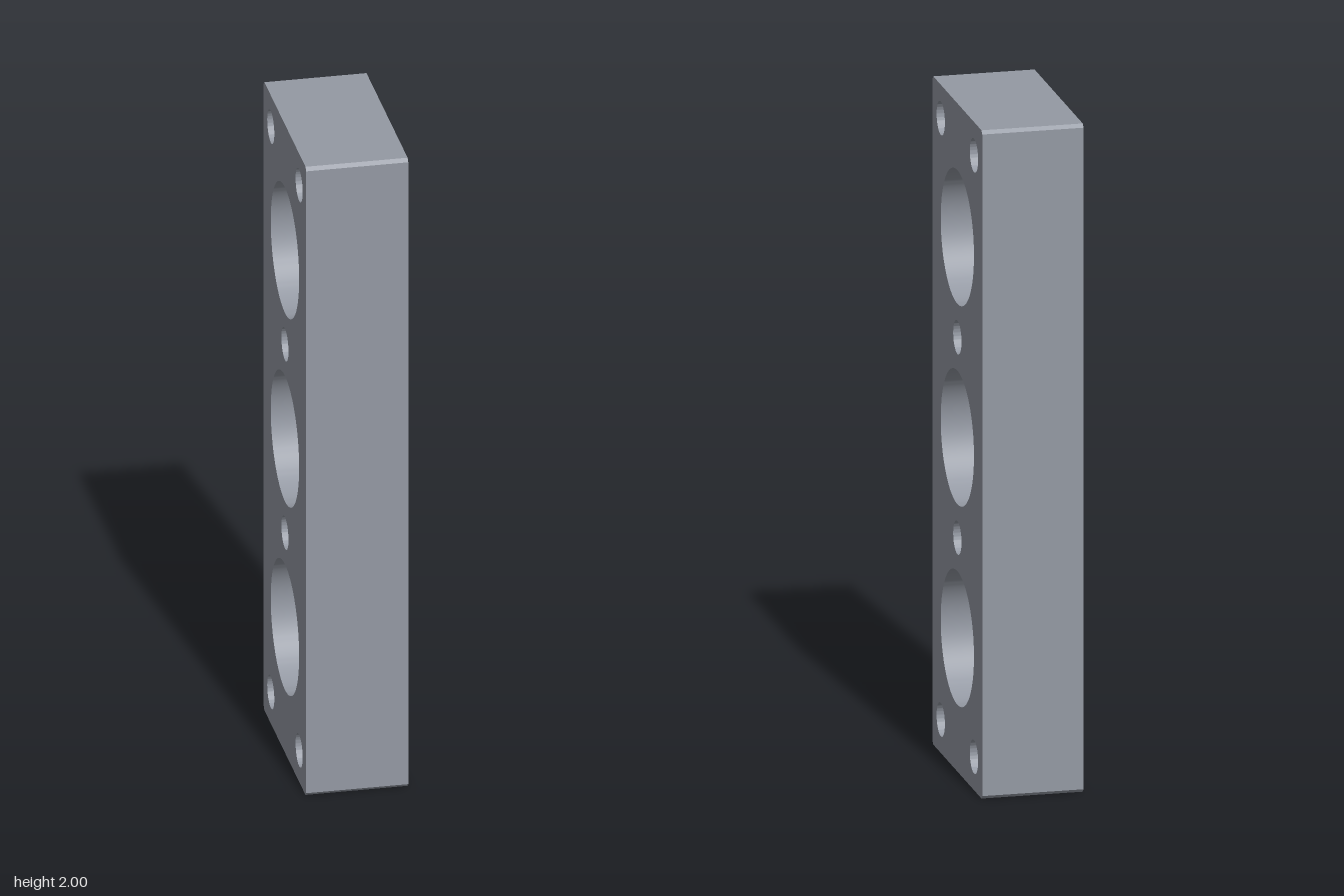
import * as THREE from 'three';
import { toCreasedNormals } from 'three/addons/utils/BufferGeometryUtils.js';

const HEIGHT = 2, DEPTH = 0.6, THICKNESS = 0.3, CHAMFER = 0.01;

// Rectangular plate outline with small chamfered corners
function plateOutline() {
  const w = DEPTH / 2, h = HEIGHT, c = CHAMFER;
  return new THREE.Shape([
    [-w + c, 0], [w - c, 0], [w, c], [w, h - c],
    [w - c, h], [-w + c, h], [-w, h - c], [-w, c],
  ].map(([x, y]) => new THREE.Vector2(x, y)));
}

function drill(shape, x, y, radius) {
  const hole = new THREE.Path();
  hole.absarc(x, y, radius, 0, Math.PI * 2, true);
  shape.holes.push(hole);
}

export function createModel() {
  const group = new THREE.Group();
  group.name = 'drilledBlock';
  const steel = new THREE.MeshStandardMaterial({ color: 0x9499a3 });
  steel.name = 'steel grey';

  const shape = plateOutline();
  // Three large bores
  for (const y of [0.4, 1, 1.6]) drill(shape, 0, y, 0.2);
  // Small holes between the bores
  for (const y of [0.7, 1.3]) drill(shape, 0, y, 0.05);
  // Corner bolt holes
  for (const x of [-0.2, 0.2]) for (const y of [0.1, 1.9]) drill(shape, x, y, 0.05);

  // Extrude through the thickness, then turn the drilled faces to the sides
  let geometry = new THREE.ExtrudeGeometry(shape, {
    depth: THICKNESS, bevelEnabled: false, curveSegments: 64,
  });
  geometry.translate(0, 0, -THICKNESS / 2);
  geometry.rotateY(Math.PI / 2);
  geometry = toCreasedNormals(geometry, 0.5);

  const block = new THREE.Mesh(geometry, steel);
  block.name = 'block';
  group.add(block);
  return group;
}
